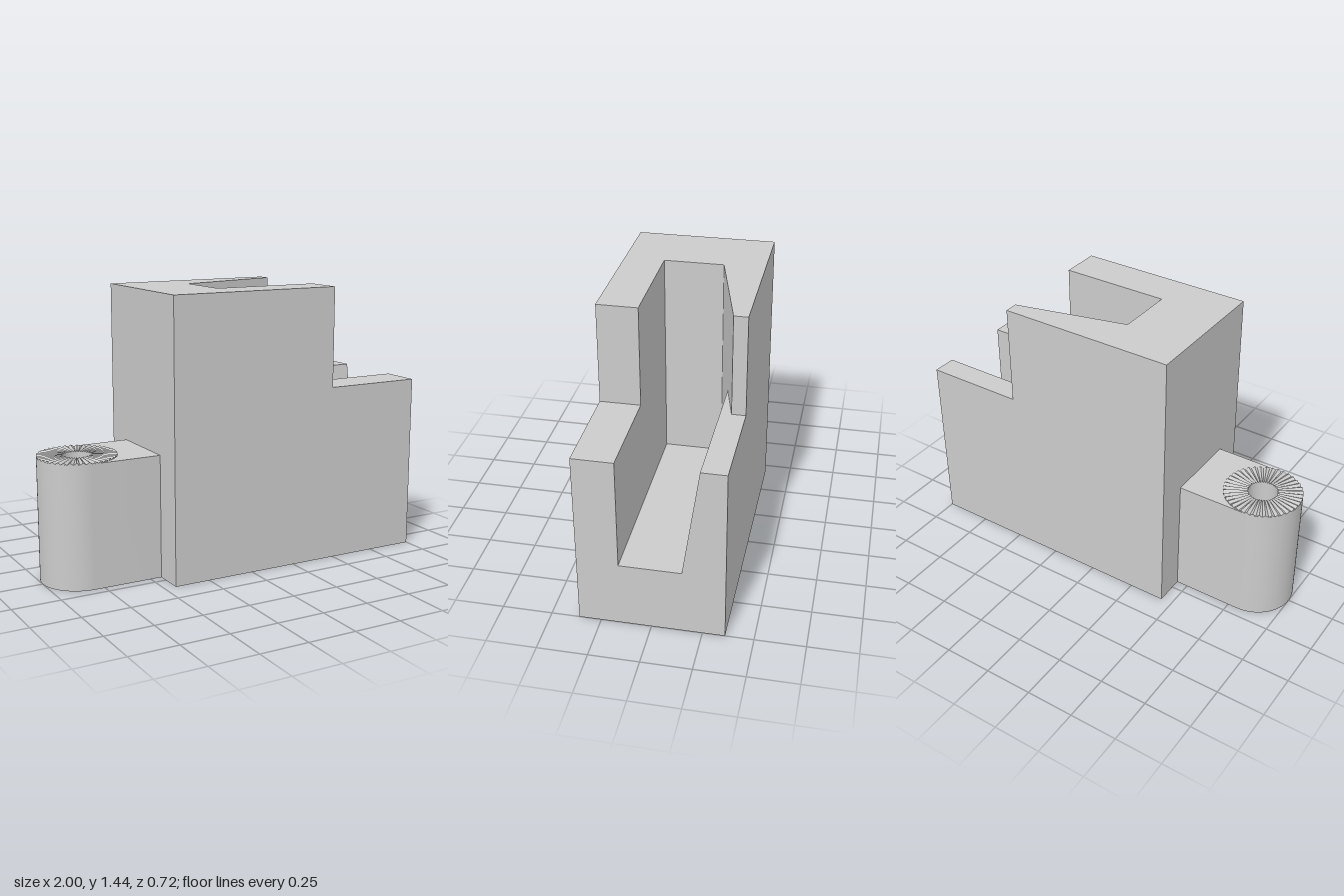
import * as THREE from 'three';
import { toCreasedNormals } from 'three/addons/utils/BufferGeometryUtils.js';

const material = new THREE.MeshStandardMaterial({ color: 0xcccccc });

// Collects triangles and quads into one flat-shaded geometry
class Faces {
  positions = [];
  tri(a, b, c) { this.positions.push(...a, ...b, ...c); }
  quad(a, b, c, d) { this.tri(a, b, c); this.tri(a, c, d); }

  // Side walls between two [x, z] outlines, counterclockwise from above
  walls(low, y0, high, y1) {
    low.forEach((p, i) => {
      const j = (i + 1) % low.length;
      const at = ([x, z], y) => [x, y, z];
      this.quad(at(p, y0), at(low[j], y0), at(high[j], y1), at(high[i], y1));
    });
  }

  // Horizontal face
  cap(outline, y, up = true) {
    const points = outline.map(([x, z]) => new THREE.Vector2(x, -z));
    for (const f of THREE.ShapeUtils.triangulateShape(points, [])) {
      const [a, b, c] = f.map((i) => [outline[i][0], y, outline[i][1]]);
      if (up) this.tri(a, b, c); else this.tri(a, c, b);
    }
  }

  mesh(name) {
    const geometry = new THREE.BufferGeometry();
    geometry.setAttribute('position', new THREE.Float32BufferAttribute(this.positions, 3));
    geometry.computeVertexNormals();
    const mesh = new THREE.Mesh(geometry, material);
    mesh.name = name;
    return mesh;
  }
}

// Stepped block with a tapered slot open at the +x end
function createBody() {
  const left = -0.44, right = 1, step = 0.48, half = 0.36;
  const slotX = -0.09, slotFront = 0.155, slotBack = -0.15;
  const floorY = 0.345, stepY = 0.92, topY = 1.44;
  const slopeZ = -0.235, slopeX = 0.255, flareZ = -0.29;

  const outer = (x) => [[x, -half], [left, -half], [left, half], [x, half]];
  const slotted = (x, ...backWall) =>
    [...outer(x), [x, slotFront], [slotX, slotFront], [slotX, slotBack], ...backWall];

  const base = outer(right);
  const floorRing = slotted(right, [slotX, slotBack], [right, slotBack]);
  const stepRing = slotted(right, [slopeX, slopeZ], [right, slopeZ]);
  const upper = slotted(step, [step, flareZ]);

  const body = new Faces();
  body.cap(base, 0, false);
  body.walls(base, 0, base, floorY);
  body.walls(floorRing, floorY, stepRing, stepY);
  body.walls(upper, stepY, upper, topY);
  body.cap(upper, topY);
  // Slot floor, then the front and back ledges
  body.cap([[slotX, slotFront], [right, slotFront], [right, slotBack], [slotX, slotBack]], floorY);
  body.cap([[step, half], [right, half], [right, slotFront], [step, slotFront]], stepY);
  body.cap([[slopeX, slopeZ], [right, slopeZ], [right, -half], [step, -half], [step, flareZ]], stepY);
  return body.mesh('slottedBody');
}

const lug = { x: -0.8, radius: 0.2, hole: 0.075, height: 0.635 };

// Rounded lug with a through hole
function createLug() {
  const shape = new THREE.Shape();
  shape.moveTo(-0.44, -lug.radius);
  shape.lineTo(-0.44, lug.radius);
  shape.lineTo(lug.x, lug.radius);
  shape.absarc(lug.x, 0, lug.radius, Math.PI / 2, Math.PI * 1.5, false);
  shape.closePath();
  const hole = new THREE.Path();
  hole.absarc(lug.x, 0, lug.hole, 0, Math.PI * 2, true);
  shape.holes.push(hole);
  const geometry = new THREE.ExtrudeGeometry(shape, {
    depth: lug.height, bevelEnabled: false, curveSegments: 32,
  });
  geometry.rotateX(-Math.PI / 2);
  const mesh = new THREE.Mesh(toCreasedNormals(geometry, 0.5), material);
  mesh.name = 'pivotLug';
  return mesh;
}

// Ring of radial V-shaped teeth around the hole
function createSerration(count = 40, ridgeY = 0.645) {
  const teeth = new Faces();
  const at = (r, a, y) => [lug.x + r * Math.cos(a), y, -r * Math.sin(a)];
  const pitch = (Math.PI * 2) / count;
  for (let i = 0; i < count; i++) {
    const angles = [i, i + 0.5, i + 1].map((k) => k * pitch);
    const heights = [lug.height, ridgeY, lug.height];
    const inner = angles.map((a, k) => at(lug.hole, a, heights[k]));
    const rim = angles.map((a, k) => at(lug.radius, a, heights[k]));
    for (const k of [0, 1]) teeth.quad(inner[k], rim[k], rim[k + 1], inner[k + 1]);
    teeth.tri(rim[0], rim[2], rim[1]);
    teeth.tri(inner[0], inner[1], inner[2]);
  }
  return teeth.mesh('serratedRing');
}

export function createModel() {
  const model = new THREE.Group();
  model.name = 'slottedBracket';
  model.add(createBody(), createLug(), createSerration());
  return model;
}
